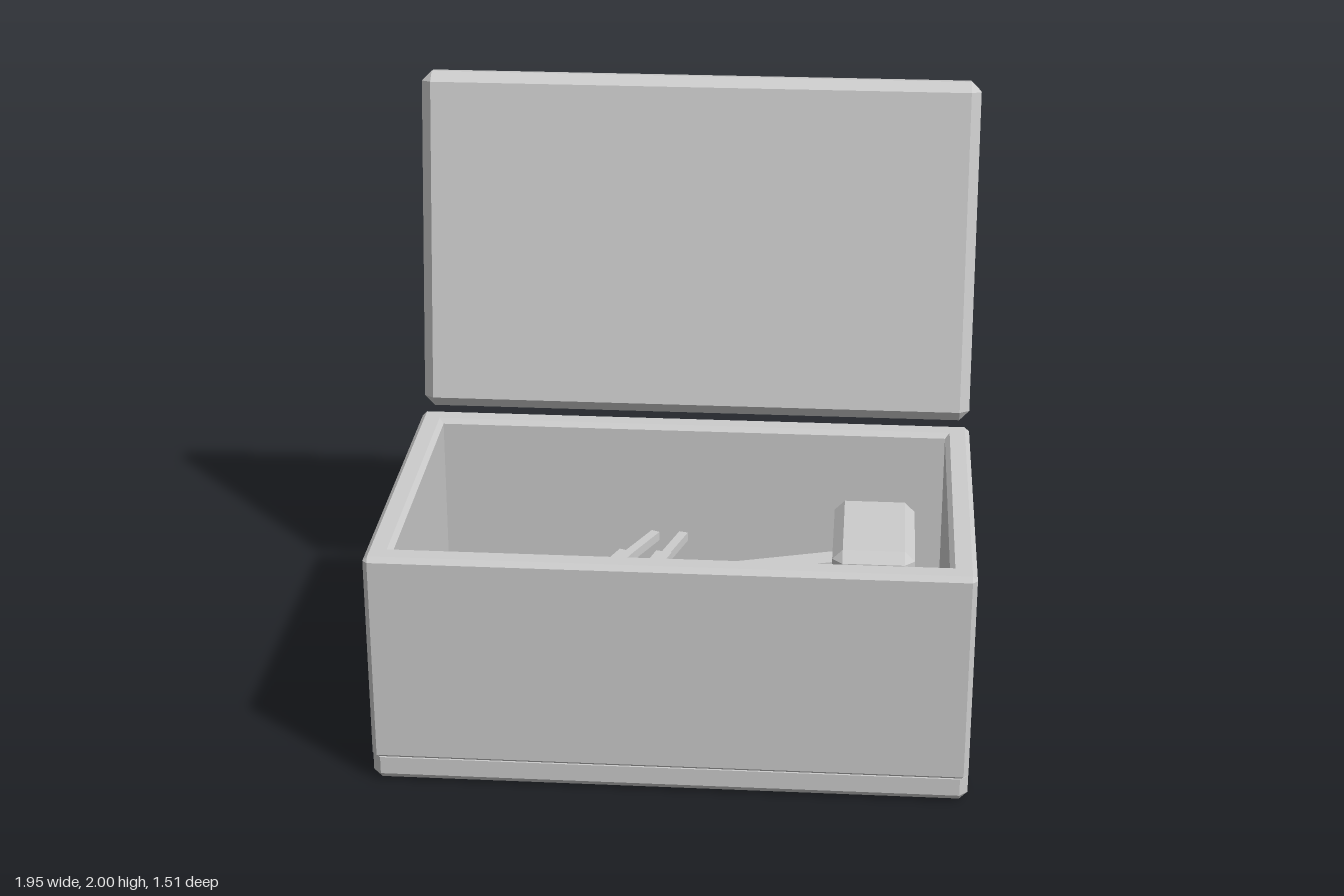
import * as THREE from 'three';

const grey = new THREE.MeshStandardMaterial({ color: 0xcccccc });
grey.name = 'plain grey';

// Rectangle with cut corners, counter-clockwise seen from above
function loop(hx, hz, cut, y) {
  return [
    [-hx + cut, y, hz], [hx - cut, y, hz], [hx, y, hz - cut], [hx, y, -hz + cut],
    [hx - cut, y, -hz], [-hx + cut, y, -hz], [-hx, y, -hz + cut], [-hx, y, hz - cut],
  ];
}

// Skin through successive loops, flat shaded, with optional end caps
function loft(loops, capped = true) {
  const pos = [];
  const tri = (a, b, c) => pos.push(...a, ...b, ...c);
  for (let k = 0; k < loops.length - 1; k++) {
    const a = loops[k], b = loops[k + 1];
    for (let i = 0; i < 8; i++) {
      const j = (i + 1) % 8;
      tri(a[i], a[j], b[j]);
      tri(a[i], b[j], b[i]);
    }
  }
  if (capped) {
    const first = loops[0], last = loops[loops.length - 1];
    for (let i = 1; i < 7; i++) {
      tri(first[0], first[i + 1], first[i]);
      tri(last[0], last[i], last[i + 1]);
    }
  }
  const g = new THREE.BufferGeometry();
  g.setAttribute('position', new THREE.Float32BufferAttribute(pos, 3));
  g.computeVertexNormals();
  return g;
}

// Box with every edge chamfered by c, centred on the origin
function chamferBox(w, h, d, c) {
  const x = w / 2, y = h / 2, z = d / 2;
  return loft([
    loop(x - c, z - c, 0, -y), loop(x, z, c, -y + c),
    loop(x, z, c, y - c), loop(x - c, z - c, 0, y),
  ]);
}

function add(parent, name, geometry, x = 0, y = 0, z = 0) {
  const mesh = new THREE.Mesh(geometry, grey);
  mesh.name = name;
  mesh.position.set(x, y, z);
  parent.add(mesh);
  return mesh;
}

// Square bar lying level between two points of the floor plan
function bar(parent, name, [x1, z1], [x2, z2], y, size) {
  const dx = x2 - x1, dz = z2 - z1;
  const mesh = add(parent, name, new THREE.BoxGeometry(Math.hypot(dx, dz), size, size),
    (x1 + x2) / 2, y, (z1 + z2) / 2);
  mesh.rotation.y = Math.atan2(-dz, dx);
}

export function createModel() {
  const model = new THREE.Group();
  model.name = 'toolbox';
  const hx = 0.975, hz = 0.6, midZ = 0.155, floorY = 0.088;

  // Base plate with chamfered lower edge
  add(model, 'base', loft([
    loop(hx - 0.027, hz - 0.027, 0, 0), loop(hx, hz, 0.027, 0.027), loop(hx, hz, 0.027, floorY),
  ]), 0, 0, midZ);

  // Walls: up the outside, over the bevelled rim and down the inside
  const b = 0.016, t = 0.07, top = 0.815;
  add(model, 'walls', loft([
    loop(hx - 0.08, hz - 0.08, 0, floorY - 0.004),
    loop(hx - 0.01, hz - 0.01, b, floorY - 0.004),
    loop(hx, hz, b, floorY + 0.008),
    loop(hx, hz, b, top - b),
    loop(hx - b, hz - b, 0, top),
    loop(hx - t, hz - t, 0, top),
    loop(hx - t - b, hz - t - b, 0, top - b),
    loop(hx - t - b, hz - t - b, 0, floorY),
  ], false), 0, 0, midZ);

  // Open lid, leaning back
  const lid = add(model, 'lid', chamferBox(1.95, 1.2, 0.11, 0.035), 0, 1.405, -0.607);
  lid.rotation.x = -THREE.MathUtils.degToRad(10);

  // Carry handle behind the lid
  const handle = new THREE.Group();
  handle.name = 'carryHandle';
  model.add(handle);
  for (const s of [-1, 1]) {
    add(handle, 'handlePost', new THREE.BoxGeometry(0.066, 0.225, 0.065), s * 0.322, 1.2825, -0.6775);
  }
  add(handle, 'handleGrip', new THREE.BoxGeometry(0.67, 0.035, 0.055), 0, 1.4125, -0.6825);

  // Hammer
  const hammer = new THREE.Group();
  hammer.name = 'hammer';
  model.add(hammer);
  add(hammer, 'hammerHead', chamferBox(0.28, 0.28, 0.46, 0.035), 0.65, 0.46, -0.05);
  bar(hammer, 'hammerHandle', [-0.612, 0.342], [0.55, -0.015], 0.46, 0.08);

  // Screwdrivers: handle end, joint, tip and height
  const drivers = [
    [[-0.66, 0.03], [0.14, 0.345], [0.505, 0.525], 0.375],
    [[-0.425, 0.455], [-0.21, -0.08], [-0.125, -0.265], 0.432],
    [[-0.235, 0.46], [-0.08, -0.08], [-0.025, -0.265], 0.432],
  ];
  for (const [end, joint, tip, y] of drivers) {
    const driver = new THREE.Group();
    driver.name = 'screwdriver';
    model.add(driver);
    bar(driver, 'driverHandle', end, joint, y, 0.056);
    bar(driver, 'driverShaft', joint, tip, y, 0.032);
  }
  return model;
}
